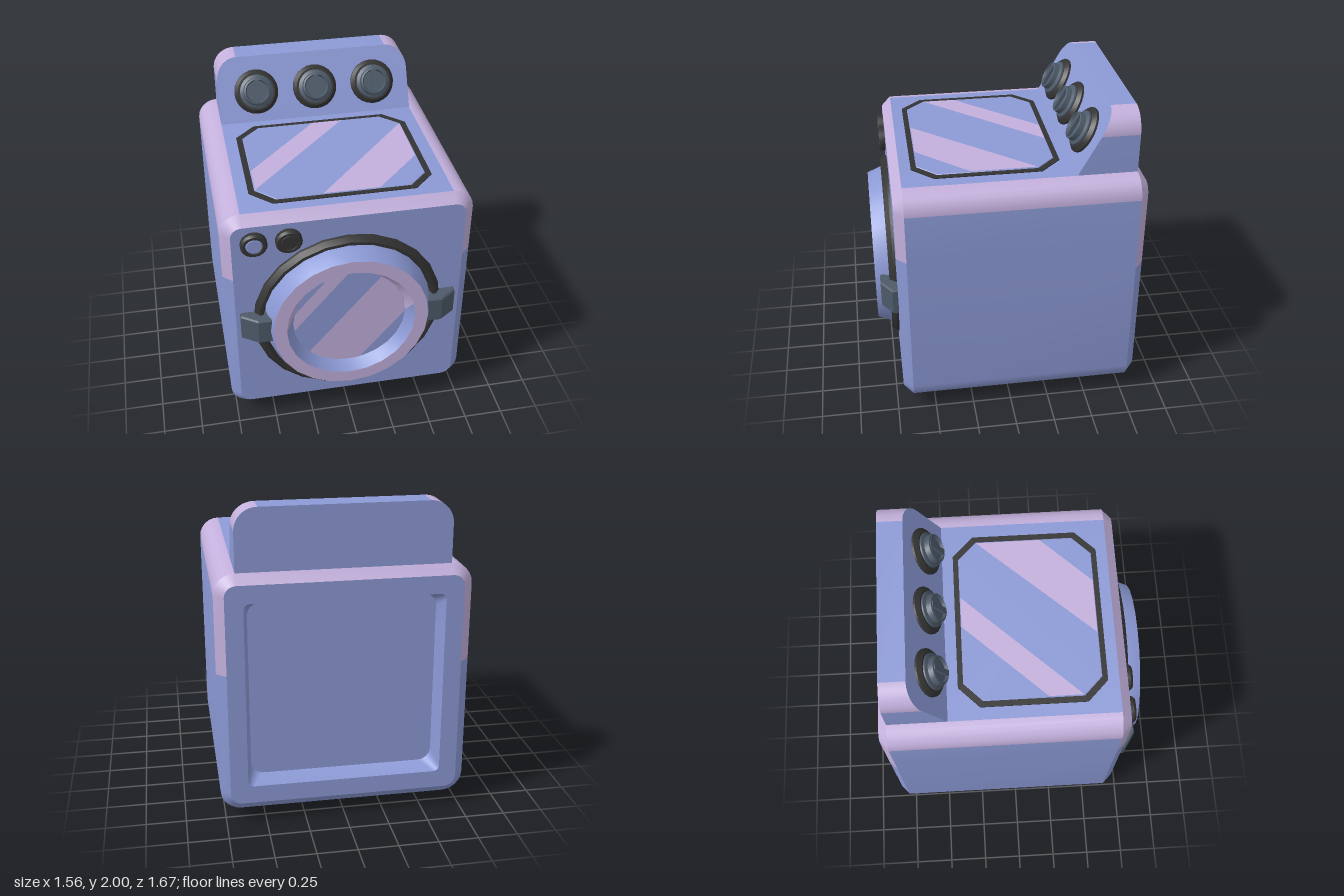
import * as THREE from 'three';
import { toCreasedNormals } from 'three/addons/utils/BufferGeometryUtils.js';

const mat = (name, color, extra = {}) => {
  const m = new THREE.MeshStandardMaterial({ color, ...extra });
  m.name = name;
  return m;
};

// Rounded rectangle loop, counter-clockwise; n = steps per corner, levels = extra heights on the sides
function roundRect(w, h, r, n, levels = []) {
  const pts = levels.map(y => [w, y]);
  const corner = (cx, cy, start) => {
    for (let i = 0; i <= n; i++) {
      const a = start + (i / n) * Math.PI / 2;
      pts.push([cx + r * Math.cos(a), cy + r * Math.sin(a)]);
    }
  };
  corner(w - r, h - r, 0);
  corner(r - w, h - r, Math.PI / 2);
  [...levels].reverse().forEach(y => pts.push([-w, y]));
  corner(r - w, r - h, Math.PI);
  corner(w - r, r - h, Math.PI * 1.5);
  return pts;
}

// Skin between rounded rectangles [halfWidth, halfHeight, radius, z], going from +z to -z, capped at both ends
function loft(sections, n, levels) {
  const loops = sections.map(([w, h, r, z]) => roundRect(w, h, r, n, levels).map(p => [...p, z]));
  const pos = [];
  const tri = (...c) => c.forEach(p => pos.push(...p));
  const count = loops[0].length, last = loops.length - 1;
  for (let j = 0; j < count; j++) {
    const k = (j + 1) % count;
    tri([0, 0, sections[0][3]], loops[0][j], loops[0][k]);
    for (let i = 0; i < last; i++) {
      const a = loops[i], b = loops[i + 1];
      tri(a[j], b[j], b[k]);
      tri(a[j], b[k], a[k]);
    }
    tri([0, 0, sections[last][3]], loops[last][k], loops[last][j]);
  }
  const g = new THREE.BufferGeometry();
  g.setAttribute('position', new THREE.Float32BufferAttribute(pos, 3));
  return toCreasedNormals(g, 0.6);
}

// Assign material 1 to triangles that satisfy rule(centre, normal), otherwise 0
function paint(geo, rule) {
  const g = geo.index ? geo.toNonIndexed() : geo;
  g.clearGroups();
  const p = g.attributes.position, t = new THREE.Triangle();
  const c = new THREE.Vector3(), n = new THREE.Vector3();
  for (let i = 0; i < p.count; i += 3) {
    t.setFromAttributeAndIndices(p, i, i + 1, i + 2);
    t.getMidpoint(c);
    t.getNormal(n);
    g.addGroup(i, 3, rule(c, n) ? 1 : 0);
  }
  return g;
}

// Lathe profile of [radius, height] turned to face +z
const turned = (profile, seg) => toCreasedNormals(
  new THREE.LatheGeometry(profile.map(p => new THREE.Vector2(...p)), seg).rotateX(Math.PI / 2), 0.5);

const polygon = pts => new THREE.Shape(pts.map(p => new THREE.Vector2(...p)));

export function createModel() {
  const blue = mat('periwinkle', 0x8c9ad6), pink = mat('lilac', 0xc3b0dc);
  const black = mat('rubber black', 0x333333), slate = mat('slate', 0x4d5a69);
  const blueAndPink = [blue, pink];
  const model = new THREE.Group();
  const add = (name, geo, material, x = 0, y = 0, z = 0, parent = model) => {
    const m = new THREE.Mesh(geo, material);
    m.name = name;
    m.position.set(x, y, z);
    parent.add(m);
    return m;
  };
  const group = (name, x, y, z) => {
    const g = new THREE.Group();
    g.name = name;
    g.position.set(x, y, z);
    model.add(g);
    return g;
  };

  // Body with bevelled front and back, and a recessed back panel
  const body = loft([
    [0.72, 0.708, 0.07, 0.705], [0.78, 0.768, 0.13, 0.645], [0.78, 0.768, 0.13, -0.78],
    [0.72, 0.708, 0.07, -0.835], [0.61, 0.595, 0.04, -0.835], [0.58, 0.565, 0.08, -0.72],
  ], 6, [0.15, 0.322]);
  add('body', paint(body, (c, n) => {
    if (c.z > 0.65 && c.z < 0.7) return c.y > 0.322;
    if (c.z < -0.785 && c.z > -0.83 && Math.max(Math.abs(c.x) - 0.72, Math.abs(c.y) - 0.708) > -0.03) return c.y > 0.15;
    return Math.abs(n.z) < 0.1 && c.y > 0.638 && Math.abs(c.x) > 0.65 && c.z > -0.78 && c.z < 0.645;
  }), blueAndPink, 0, 0.847, 0);

  // Control console with sloping front
  const slopeZ = y => -0.41 - (y - 1.615) * 0.545;
  const outline = new THREE.Shape();
  outline.moveTo(-0.65, 1.6).lineTo(0.65, 1.6).lineTo(0.65, 1.86);
  outline.absarc(0.51, 1.86, 0.14, 0, Math.PI / 2);
  outline.absarc(-0.51, 1.86, 0.14, Math.PI / 2, Math.PI);
  const consoleGeo = new THREE.ExtrudeGeometry(outline, { depth: 1, bevelEnabled: false, curveSegments: 8 });
  const cp = consoleGeo.attributes.position;
  for (let i = 0; i < cp.count; i++) cp.setZ(i, cp.getZ(i) > 0.5 ? slopeZ(cp.getY(i)) : -0.78);
  add('console', paint(toCreasedNormals(consoleGeo, 0.5),
    (c, n) => Math.abs(n.z) < 0.3 && c.y > 1.86 && Math.abs(c.x) > 0.51), blueAndPink);

  // Console knobs
  const knobBase = turned([[0.148, -0.01], [0.148, 0.014], [0.125, 0.036], [0.105, 0.036]], 24);
  const knobCap = turned([[0.115, 0.02], [0.112, 0.046], [0.092, 0.056], [0.088, 0.088],
    [0.078, 0.092], [0.07, 0.075], [0, 0.075]], 24);
  for (const x of [-0.395, 0.003, 0.4]) {
    const knob = group('knob', x, 1.79, slopeZ(1.79));
    knob.rotation.x = -Math.atan(0.545);
    add('knobBase', knobBase, black, 0, 0, 0, knob);
    add('knobCap', knobCap, slate, 0, 0, 0, knob);
    add('knobGrip', new THREE.BoxGeometry(0.034, 0.155, 0.04), slate, 0, 0, 0.076, knob);
  }

  // Top window: dark frame, raised glass and two diagonal stripes
  const flat = g => g.rotateX(-Math.PI / 2);
  add('topFrame', flat(loft([[0.57, 0.458, 0.13, 0.008], [0.57, 0.458, 0.13, -0.01]], 1)), black, -0.003, 1.612, 0.117);
  add('topGlass', flat(loft([[0.528, 0.422, 0.115, 0.011], [0.54, 0.43, 0.12, 0]], 1)), blue, -0.003, 1.613, 0.117);
  const topStripes = [
    [[-0.05, -0.303], [0.147, -0.303], [-0.528, 0.422], [-0.528, 0.21]],
    [[0.522, -0.19], [0.522, 0.22], [0.22, 0.537], [-0.13, 0.537]],
  ];
  for (const s of topStripes) {
    const shape = polygon(s.map(([x, z]) => [x, -z]));
    add('topStripe', flat(new THREE.ShapeGeometry(shape)), pink, 0, 1.626, 0);
  }

  // Round door
  const door = group('door', -0.01, 0.82, 0);
  add('doorSeal', turned([[0.605, 0.70], [0.602, 0.72], [0.575, 0.75], [0.555, 0.75], [0.535, 0.70]], 24),
    black, 0, 0, 0, door);
  const rim = turned([[0.535, 0.70], [0.53, 0.75], [0.495, 0.838], [0.41, 0.838], [0.36, 0.765]], 24);
  add('doorRim', paint(rim, (c, n) =>
    n.z > 0.95 || (c.x * n.x + c.y * n.y < 0 && c.y > 0.04)), blueAndPink, 0, 0, 0, door);
  add('doorGlass', new THREE.CircleGeometry(0.37, 24), blue, 0, 0, 0.767, door);
  for (const [a, b] of [[0.235, 0.318], [-0.28, 0.04]]) {
    const r = 0.358, s = new THREE.Shape();
    s.absarc(0, 0, r, Math.acos(b / r), Math.acos(a / r));
    s.absarc(0, 0, r, -Math.acos(a / r), -Math.acos(b / r));
    add('doorStripe', new THREE.ShapeGeometry(s), pink, 0, 0, 0.77, door).rotation.z = 2.45;
  }

  // Hinge and latch blocks beside the door
  for (const side of [-1, 1]) {
    const profile = [[0.50, 0.69], [0.68, 0.69], [0.68, 0.735], [0.585, 0.8], [0.50, 0.8]];
    const shape = polygon(profile.map(([x, z]) => [side * x, -z]));
    const geo = new THREE.ExtrudeGeometry(shape, {
      depth: 0.16, bevelSize: 0.008, bevelThickness: 0.01, bevelSegments: 1 });
    add(side < 0 ? 'latch' : 'hinge', flat(geo), slate, -0.005, 0.74, 0);
  }

  // Two small front buttons
  const buttonRing = turned([[0.082, 0.70], [0.082, 0.73], [0.07, 0.745], [0.054, 0.745], [0.048, 0.715]], 20);
  const buttonCap = turned([[0.051, 0.70], [0.051, 0.738], [0.045, 0.742], [0, 0.742]], 20);
  [[-0.585, blue], [-0.375, black]].forEach(([x, m]) => {
    add('buttonRing', buttonRing, black, x, 1.437, 0);
    add('buttonCap', buttonCap, m, x, 1.437, 0);
  });

  // Tapered feet
  const foot = flat(loft([[0.15, 0.15, 0.035, 0.085], [0.118, 0.118, 0.03, 0]], 1));
  for (const x of [-0.423, 0.417]) for (const z of [0.375, -0.455]) add('foot', foot, slate, x, 0, z);

  return model;
}
